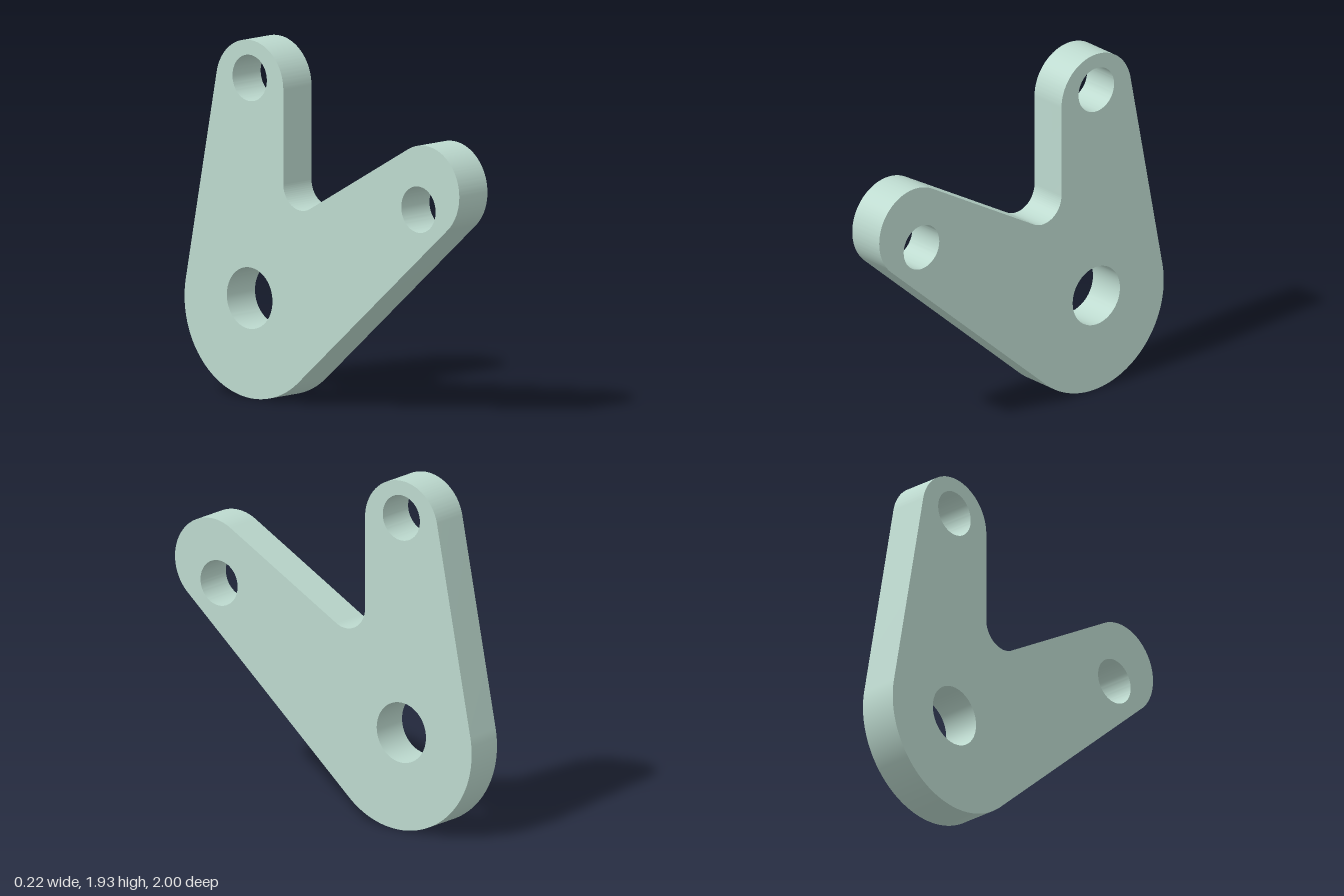
import * as THREE from 'three';
import { toCreasedNormals } from 'three/addons/utils/BufferGeometryUtils.js';

const THICKNESS = 0.22;
const rad = THREE.MathUtils.degToRad;

export function createModel() {
  const group = new THREE.Group();
  group.name = 'bellCrank';

  // Outline in the side plane (shape x = -z): tangent lines join the arcs
  const outline = new THREE.Shape();
  outline.absarc(0.5, 0.5, 0.5, rad(229.3), rad(371.3), false); // pivot end
  outline.absarc(0.526, 1.688, 0.245, rad(11.3), rad(180), false); // upright arm end
  outline.absarc(0.151, 1.183, 0.13, rad(360), rad(240.1), true); // inner fillet
  outline.absarc(-0.75, 1.255, 0.25, rad(60.1), rad(229.3), false); // slanted arm end
  outline.closePath();

  // Pin holes: centre and radius
  for (const [u, v, r] of [[0.526, 0.54, 0.166], [0.526, 1.728, 0.125], [-0.703, 1.155, 0.125]]) {
    const hole = new THREE.Path();
    hole.absarc(u, v, r, 0, Math.PI * 2, true);
    outline.holes.push(hole);
  }

  // Plate, extruded across the width and turned to face sideways
  const extruded = new THREE.ExtrudeGeometry(outline, {
    depth: THICKNESS, bevelEnabled: false, curveSegments: 48,
  });
  extruded.translate(0, 0, -THICKNESS / 2);
  extruded.rotateY(Math.PI / 2);

  const plate = new THREE.Mesh(
    toCreasedNormals(extruded, rad(30)),
    new THREE.MeshStandardMaterial({ color: 0xbcd9ce }),
  );
  plate.name = 'crankPlate';
  group.add(plate);
  return group;
}
